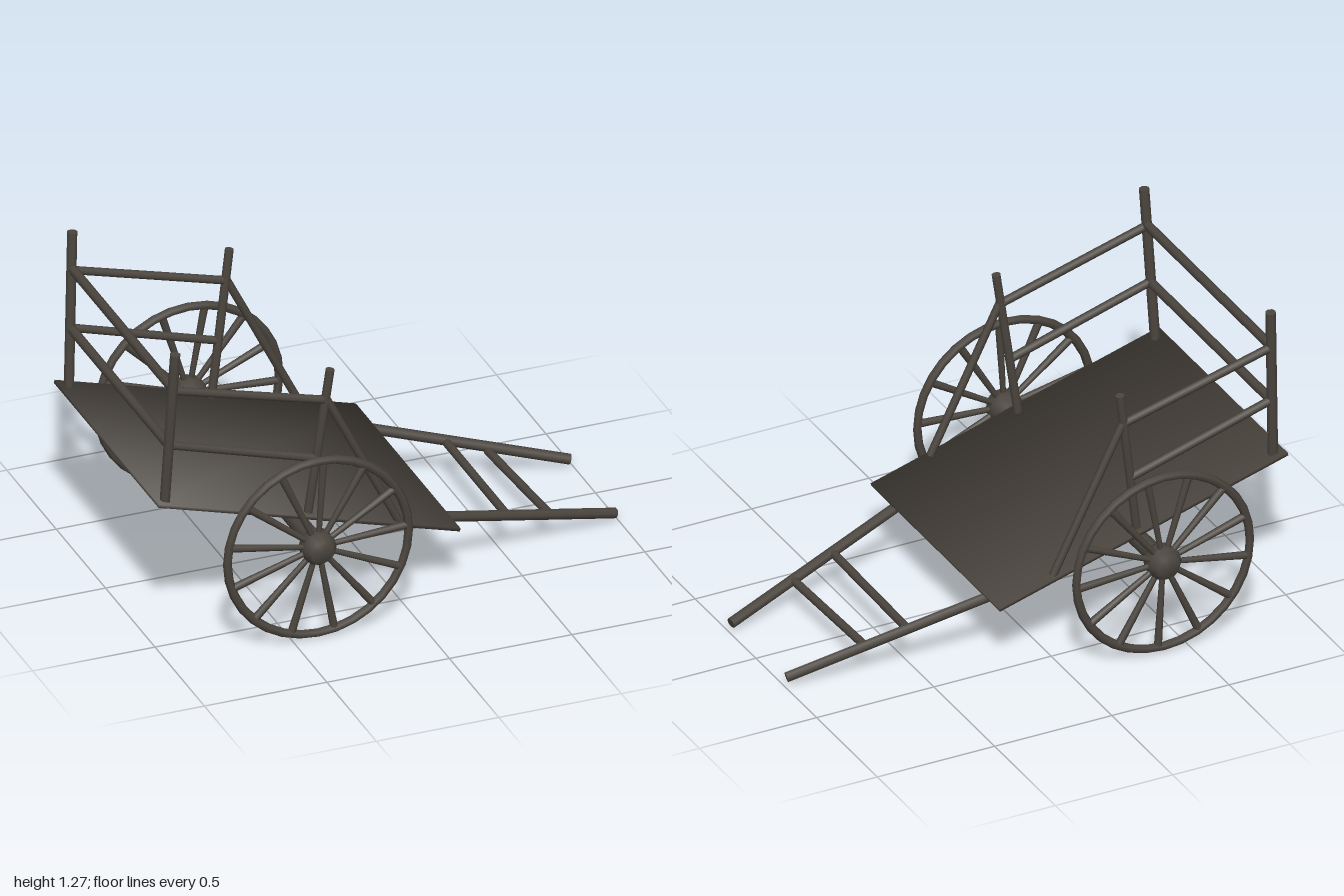
import * as THREE from 'three';
import { mergeVertices } from 'three/addons/utils/BufferGeometryUtils.js';

const wood = new THREE.MeshStandardMaterial({ color: 0x4b453e });
wood.name = 'dark wood';

const UP = new THREE.Vector3(0, 1, 0);

function add(parent, geometry, name) {
  const mesh = new THREE.Mesh(geometry, wood);
  mesh.name = name;
  parent.add(mesh);
  return mesh;
}

// Round pole between two points
function pole(parent, name, a, b, rA, rB = rA) {
  const from = new THREE.Vector3(...a), to = new THREE.Vector3(...b);
  const dir = to.clone().sub(from);
  const mesh = add(parent, new THREE.CylinderGeometry(rB, rA, dir.length(), 8), name);
  mesh.position.copy(from).add(to).multiplyScalar(0.5);
  mesh.quaternion.setFromUnitVectors(UP, dir.normalize());
  return mesh;
}

// Thin board with soft corner normals
function softBoard(w, h, d) {
  let g = new THREE.BoxGeometry(w, h, d);
  g.deleteAttribute('normal');
  g.deleteAttribute('uv');
  g = mergeVertices(g);
  const p = g.attributes.position;
  const n = new Float32Array(p.count * 3);
  for (let i = 0; i < p.count; i++) {
    new THREE.Vector3(Math.sign(p.getX(i)), Math.sign(p.getY(i)), Math.sign(p.getZ(i)))
      .normalize().toArray(n, i * 3);
  }
  g.setAttribute('normal', new THREE.BufferAttribute(n, 3));
  return g;
}

// Spoked wheel in the xy plane, outer side towards +z
function makeWheel(name) {
  const wheel = new THREE.Group();
  wheel.name = name;
  add(wheel, new THREE.TorusGeometry(0.37, 0.018, 6, 32), 'rim');
  const profile = [[0, -0.065], [0.045, -0.065], [0.068, -0.03], [0.068, 0.02], [0.045, 0.053], [0, 0.053]];
  const hub = add(wheel, new THREE.LatheGeometry(profile.map(([r, y]) => new THREE.Vector2(r, y)), 12), 'hub');
  hub.rotation.x = Math.PI / 2;
  const count = 13;
  for (let i = 0; i < count; i++) {
    const t = 0.06 + (i / count) * Math.PI * 2;
    const c = Math.cos(t), s = Math.sin(t);
    pole(wheel, 'spoke', [0.04 * c, 0.04 * s, 0], [0.365 * c, 0.365 * s, 0], 0.011, 0.016);
  }
  return wheel;
}

export function createModel() {
  const cart = new THREE.Group();
  cart.name = 'handcart';

  // Sloping bed
  const bed = add(cart, softBoard(1.28, 0.013, 1.06), 'bed');
  bed.position.set(-0.385, 0.456, 0.01);
  bed.rotation.z = -0.281;

  // Wheels and axle
  pole(cart, 'axle', [-0.395, 0.393, -0.62], [-0.395, 0.393, 0.62], 0.037);
  for (const side of [1, -1]) {
    const wheel = makeWheel(side > 0 ? 'frontWheel' : 'backWheel');
    wheel.position.set(-0.397, 0.393, side * 0.655);
    if (side < 0) wheel.rotation.x = Math.PI;
    cart.add(wheel);
  }

  // Side frames and shafts
  for (const side of [1, -1]) {
    const frame = new THREE.Group();
    frame.name = side > 0 ? 'frontSideFrame' : 'backSideFrame';
    frame.position.z = 0.01;
    cart.add(frame);
    const z = (d) => side * d;
    pole(frame, 'rearPost', [-0.958, 0.625, z(0.485)], [-0.93, 1.27, z(0.521)], 0.021);
    pole(frame, 'middlePost', [-0.375, 0.455, z(0.488)], [-0.293, 1.07, z(0.51)], 0.018);
    pole(frame, 'brace', [-0.01, 0.355, z(0.505)], [-0.31, 0.95, z(0.507)], 0.016);
    pole(frame, 'upperRail', [-0.935, 1.11, z(0.512)], [-0.31, 0.94, z(0.506)], 0.017);
    pole(frame, 'lowerRail', [-0.945, 0.87, z(0.498)], [-0.34, 0.69, z(0.498)], 0.017);
    pole(cart, 'shaft', [0.04, 0.305, side * 0.41], [0.988, 0.037, side * 0.228], 0.021);
  }

  // Rear rails
  pole(cart, 'rearUpperRail', [-0.935, 1.117, -0.5], [-0.935, 1.117, 0.52], 0.019);
  pole(cart, 'rearLowerRail', [-0.945, 0.868, -0.49], [-0.945, 0.868, 0.51], 0.019);

  // Crossbars between the shafts
  pole(cart, 'shaftCrossbar', [0.515, 0.167, -0.31], [0.51, 0.173, 0.31], 0.017);
  pole(cart, 'shaftCrossbar', [0.673, 0.112, -0.28], [0.697, 0.122, 0.28], 0.017);

  return cart;
}
